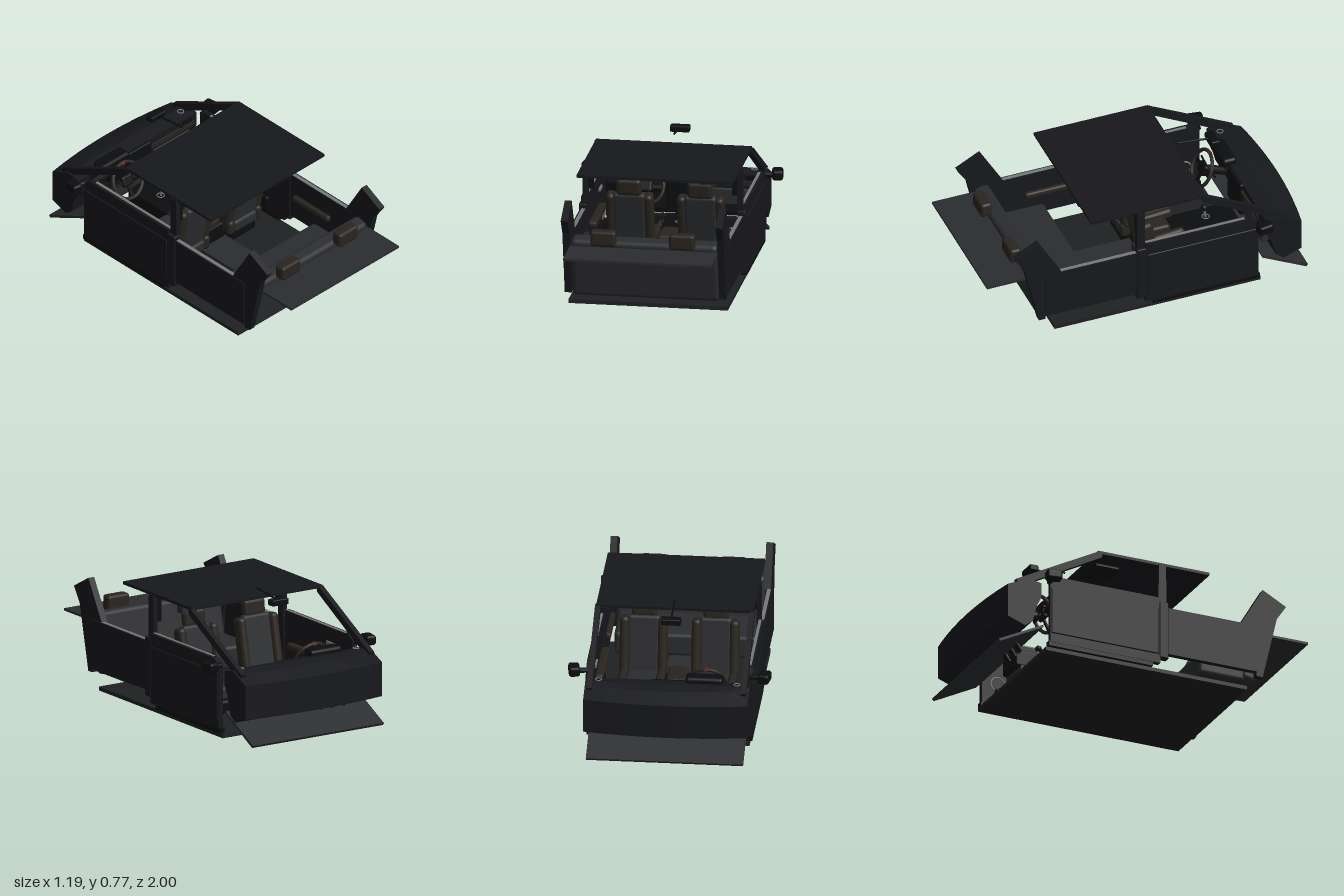
import * as THREE from 'three';
import { RoundedBoxGeometry } from 'three/addons/geometries/RoundedBoxGeometry.js';

const mat = (color) => new THREE.MeshStandardMaterial({ color, side: THREE.DoubleSide });

export function createModel() {
  const car = new THREE.Group();
  car.name = 'carInterior';
  const dark = mat(0x17181c), grey = mat(0x2b2c2f), carpet = mat(0x1f2022), brown = mat(0x29241f);
  const black = mat(0x0c0d0f), silver = mat(0x77787a), red = mat(0x8a2a18);

  const add = (name, geo, m, x = 0, y = 0, z = 0, rx = 0, parent = car) => {
    const mesh = new THREE.Mesh(geo, m);
    mesh.name = name;
    mesh.position.set(x, y, z);
    mesh.rotation.x = rx;
    parent.add(mesh);
    return mesh;
  };
  // box given by its ranges on each axis
  const span = (name, m, x0, x1, y0, y1, z0, z1, r = 0) => {
    const w = x1 - x0, h = y1 - y0, d = z1 - z0;
    const g = r ? new RoundedBoxGeometry(w, h, d, 3, r) : new THREE.BoxGeometry(w, h, d);
    return add(name, g, m, (x0 + x1) / 2, (y0 + y1) / 2, (z0 + z1) / 2);
  };
  // side profile of [z, y] points, extruded from x0 to x1
  const profile = (points, x0, x1, steps = 1) => {
    const shape = new THREE.Shape(points.map(([z, y]) => new THREE.Vector2(z, y)));
    return new THREE.ExtrudeGeometry(shape, { depth: x1 - x0, bevelEnabled: false, steps })
      .rotateY(-Math.PI / 2).translate(x1, 0, 0);
  };
  // straight round or square bar between two points
  const bar = (name, a, b, r, m, sides = 10) => {
    const p = new THREE.Vector3(...a), q = new THREE.Vector3(...b);
    const mesh = add(name, new THREE.CylinderGeometry(r, r, p.distanceTo(q), sides), m);
    mesh.position.copy(p).lerp(q, 0.5);
    mesh.quaternion.setFromUnitVectors(new THREE.Vector3(0, 1, 0), q.sub(p).normalize());
    return mesh;
  };

  // Floor, tunnel, sloping toe board, roof and rear shelf
  span('floor', carpet, -0.47, 0.47, 0.003, 0.026, -0.7, 0.59);
  span('floorTunnel', grey, -0.1, 0.1, 0.026, 0.066, -0.69, 0.55);
  add('toeBoard', profile([[-0.71, 0.168], [-0.715, 0.15], [-0.99, 0.008], [-1, 0.022]], -0.46, 0.46), grey);
  span('roofLining', dark, -0.46, 0.46, 0.695, 0.712, -0.36, 0.355);
  span('rearShelf', grey, -0.437, 0.437, 0.388, 0.402, 0.72, 1);

  // Dashboard, bowed forward in plan
  const dashGeo = profile([[-0.735, 0.42], [-0.82, 0.435], [-0.89, 0.42], [-0.99, 0.375], [-0.99, 0.17],
    [-0.84, 0.13], [-0.79, 0.17], [-0.765, 0.27], [-0.735, 0.33]], -0.48, 0.48, 16);
  const dp = dashGeo.attributes.position;
  for (let i = 0; i < dp.count; i++) {
    const t = dp.getX(i) / 0.48;
    if (dp.getZ(i) < -0.88) dp.setZ(i, dp.getZ(i) + 0.04 * t * t);
  }
  dashGeo.computeVertexNormals();
  add('dashboard', dashGeo, dark);
  span('instrumentHood', black, -0.32, -0.1, 0.4, 0.46, -0.78, -0.69, 0.02);
  span('centreStack', black, -0.1, 0.1, 0.2, 0.42, -0.76, -0.715, 0.01);
  span('gloveBox', grey, 0.13, 0.42, 0.23, 0.33, -0.775, -0.725, 0.01);
  span('dashTrim', brown, -0.45, 0.45, 0.355, 0.38, -0.745, -0.722);
  for (const x of [-0.35, -0.07, 0.07, 0.4]) span('airVent', black, x - 0.035, x + 0.035, 0.385, 0.41, -0.74, -0.725);

  // Centre console and gear lever
  span('centreConsole', black, -0.095, 0.095, 0.06, 0.17, -0.72, -0.1, 0.015);
  span('consoleArmrest', brown, -0.06, 0.06, 0.16, 0.22, -0.3, -0.1, 0.02);
  bar('gearLever', [0, 0.16, -0.54], [0, 0.235, -0.53], 0.007, silver);
  add('gearKnob', new THREE.SphereGeometry(0.02, 16, 12), black, 0, 0.24, -0.53);
  add('gearRing', new THREE.TorusGeometry(0.022, 0.003, 8, 24), silver, 0, 0.172, -0.54, Math.PI / 2);

  // Steering wheel, column and pedals
  const wheel = new THREE.Group();
  wheel.name = 'steeringWheel';
  wheel.position.set(-0.21, 0.36, -0.6);
  wheel.rotation.x = -0.45;
  car.add(wheel);
  add('wheelRim', new THREE.TorusGeometry(0.11, 0.011, 10, 40), brown, 0, 0, 0, 0, wheel);
  add('wheelHub', new RoundedBoxGeometry(0.085, 0.07, 0.035, 3, 0.015), black, 0, 0, -0.008, 0, wheel);
  for (const a of [0, Math.PI, -Math.PI / 2]) {
    const spoke = add('wheelSpoke', new THREE.BoxGeometry(0.08, 0.022, 0.01), black,
      Math.cos(a) * 0.07, Math.sin(a) * 0.07, -0.008, 0, wheel);
    spoke.rotation.z = a;
  }
  add('wheelMarker', new THREE.BoxGeometry(0.02, 0.012, 0.024), red, 0, 0.11, 0, 0, wheel);
  bar('steeringColumn', [-0.21, 0.355, -0.61], [-0.21, 0.29, -0.77], 0.025, black);
  for (const s of [-1, 1]) bar('columnStalk', [-0.21, 0.345, -0.64], [-0.21 + s * 0.11, 0.36, -0.64], 0.006, black);
  for (const x of [-0.3, -0.22, -0.14]) {
    bar('pedalArm', [x, 0.16, -0.84], [x, 0.07, -0.8], 0.006, black);
    add('pedal', new THREE.BoxGeometry(0.045, 0.05, 0.01), black, x, 0.065, -0.8, -0.6);
  }

  // Front seats
  for (const x of [-0.21, 0.21]) {
    const seat = new THREE.Group();
    seat.name = 'frontSeat';
    seat.position.x = x;
    car.add(seat);
    const pad = (name, w, h, d, m, px, py, pz, rx = 0, r = 0.02) =>
      add(name, new RoundedBoxGeometry(w, h, d, 3, r), m, px, py, pz, rx, seat);
    pad('seatBase', 0.2, 0.08, 0.28, black, 0, 0.07, -0.2);
    pad('seatCushion', 0.18, 0.08, 0.33, grey, 0, 0.15, -0.205, 0.08);
    pad('seatBack', 0.19, 0.36, 0.06, grey, 0, 0.325, -0.055, 0.2);
    for (const s of [-1, 1]) {
      pad('cushionBolster', 0.05, 0.1, 0.33, brown, s * 0.11, 0.155, -0.205, 0.08, 0.024);
      pad('backBolster', 0.055, 0.34, 0.085, brown, s * 0.112, 0.33, -0.065, 0.2, 0.026);
      add('headrestPost', new THREE.CylinderGeometry(0.006, 0.006, 0.06, 8), silver, s * 0.04, 0.5, -0.01, 0.1, seat);
    }
    pad('headrest', 0.15, 0.105, 0.055, brown, 0, 0.54, -0.008, 0.1, 0.025);
  }
  span('seatScreen', grey, 0.21, 0.305, 0.578, 0.634, -0.035, 0.018);

  // Rear bench
  span('rearCushion', grey, -0.42, 0.42, 0.08, 0.22, 0.31, 0.66, 0.025);
  add('rearBackrest', new RoundedBoxGeometry(0.87, 0.37, 0.1, 3, 0.03), grey, 0, 0.265, 0.665, 0.22);
  for (const x of [-0.235, 0.23]) span('rearHeadrest', brown, x - 0.075, x + 0.075, 0.42, 0.512, 0.73, 0.8, 0.018);

  // Everything mirrored on both sides
  for (const s of [-1, 1]) {
    const side = (name, m, x0, x1, y0, y1, z0, z1, r) =>
      span(name, m, Math.min(s * x0, s * x1), Math.max(s * x0, s * x1), y0, y1, z0, z1, r);
    const plate = (name, pts, x0, x1, m) =>
      add(name, profile(pts, Math.min(s * x0, s * x1), Math.max(s * x0, s * x1)), m);

    // Doors with sill strips, armrests, pockets and speakers
    plate('frontDoor', [[0.025, 0.055], [0.025, 0.475], [-0.63, 0.475], [-0.68, 0.45], [-0.68, 0.055]], 0.455, 0.488, dark);
    side('frontDoorBand', dark, 0.48, 0.494, 0.11, 0.4, -0.675, 0.015, 0.006);
    side('frontDoorSill', black, 0.45, 0.485, 0.03, 0.06, -0.69, -0.02);
    side('frontWindowStrip', silver, 0.455, 0.472, 0.472, 0.479, -0.6, 0.02);
    side('frontArmrest', brown, 0.41, 0.46, 0.26, 0.3, -0.45, -0.05, 0.015);
    side('frontDoorPocket', black, 0.43, 0.46, 0.08, 0.16, -0.6, -0.1, 0.01);
    side('doorHandle', silver, 0.445, 0.457, 0.37, 0.39, -0.5, -0.42);
    plate('rearDoor', [[0.08, 0.125], [0.65, 0.125], [0.65, 0.42], [0.08, 0.42]], 0.45, 0.484, dark);
    side('rearWindowStrip', silver, 0.453, 0.475, 0.415, 0.423, 0.08, 0.63);
    side('rearArmrest', brown, 0.42, 0.455, 0.26, 0.3, 0.12, 0.42, 0.014);
    const speaker = add('doorSpeaker', new THREE.TorusGeometry(0.045, 0.005, 8, 28), silver, s * 0.45, 0.19, -0.58);
    speaker.rotation.y = Math.PI / 2;
    add('tweeterRing', new THREE.TorusGeometry(0.018, 0.003, 8, 24), silver, s * 0.405, 0.436, -0.79, Math.PI / 2);

    // Pillars
    side('lowerCentrePillar', dark, 0.445, 0.492, 0.09, 0.45, 0.02, 0.08, 0.008);
    plate('upperCentrePillar', [[0.022, 0.43], [0.075, 0.43], [0.07, 0.7], [0.025, 0.7]], 0.44, 0.47, dark);
    side('beltGuide', black, 0.41, 0.44, 0.54, 0.7, 0.025, 0.065);
    plate('windscreenPillar', [[-0.335, 0.705], [-0.36, 0.705], [-0.89, 0.425], [-0.88, 0.4], [-0.84, 0.4], [-0.34, 0.67]], 0.435, 0.467, dark);
    plate('rearPillar', [[0.84, 0.58], [0.69, 0.66], [0.55, 0.42], [0.63, 0.42], [0.65, 0.1], [0.69, 0.1], [0.78, 0.49]], 0.435, 0.476, dark);

    // Sun visors and door mirrors
    side('sunVisor', black, 0.12, 0.33, 0.683, 0.695, -0.31, -0.17);
    bar('mirrorArm', [s * 0.47, 0.44, -0.68], [s * 0.55, 0.44, -0.69], 0.016, black);
    const mirror = side('doorMirror', black, 0.525, 0.59, 0.415, 0.475, -0.74, -0.645, 0.016);
    mirror.rotation.y = s * 0.15;
  }

  // Rear-view mirror
  span('rearViewMirror', black, -0.058, 0.058, 0.712, 0.75, -0.61, -0.555, 0.008);
  bar('mirrorStem', [0, 0.764, -0.36], [0, 0.738, -0.58], 0.006, black);
  return car;
}
